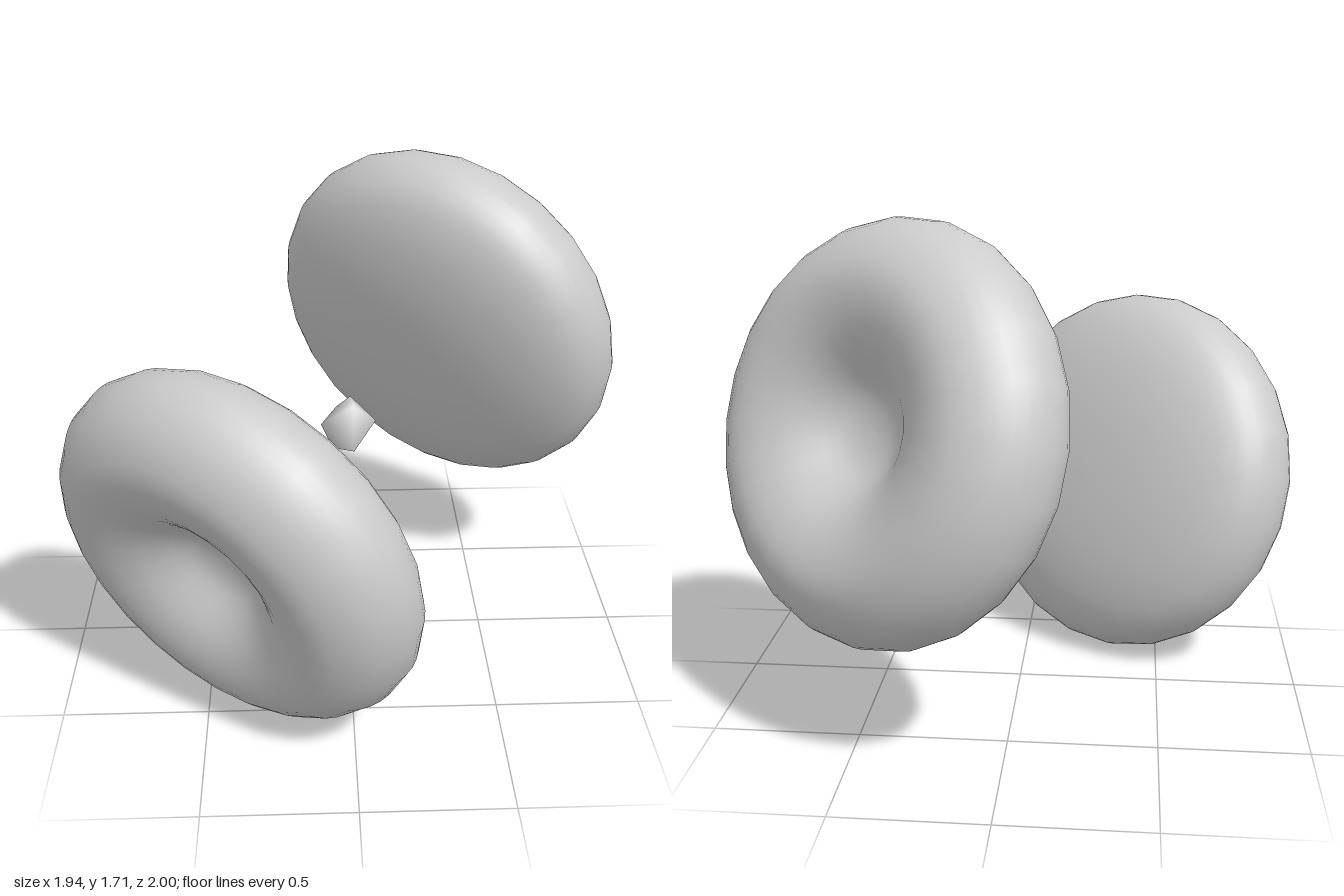
import * as THREE from 'three';
import { ConvexGeometry } from 'three/addons/geometries/ConvexGeometry.js';
import { mergeVertices } from 'three/addons/utils/BufferGeometryUtils.js';

const v2 = (r, t) => new THREE.Vector2(r, t);

export function createModel() {
  const model = new THREE.Group();
  const material = new THREE.MeshStandardMaterial({ color: 0xcccccc });

  // Cell profile: domed underside, blunt rim, narrow dimple in the upper face
  const profile = new THREE.SplineCurve([
    v2(0, -0.28), v2(0.18, -0.275), v2(0.35, -0.255), v2(0.5, -0.215), v2(0.61, -0.155),
    v2(0.665, -0.08), v2(0.682, 0), v2(0.66, 0.085), v2(0.6, 0.165), v2(0.5, 0.222),
    v2(0.4, 0.225), v2(0.3, 0.193), v2(0.22, 0.14), v2(0.14, 0.075), v2(0.07, 0.048), v2(0, 0.04),
  ]).getPoints(36);
  profile[0].x = profile[profile.length - 1].x = 0;
  const cellGeometry = new THREE.LatheGeometry(profile, 24);

  // Two cells mirrored through the centre, dimples facing outwards
  const up = new THREE.Vector3(0, 1, 0);
  for (const [name, s] of [['frontCell', 1], ['backCell', -1]]) {
    const cell = new THREE.Mesh(cellGeometry, material);
    cell.name = name;
    cell.position.set(-0.38 * s, 0.86 - 0.2 * s, 0.49 * s);
    const axis = new THREE.Vector3(-0.58 * s, -0.28 * s, 0.765 * s).normalize();
    cell.quaternion.setFromUnitVectors(up, axis);
    model.add(cell);
  }

  // Small faceted granule floating between the cells, smooth shaded
  const corners = [
    [0.02, -0.07, 0.075], [-0.095, 0.01, 0.02], [0, -0.05, -0.11], [0.1, 0, -0.025],
    [0.01, 0.09, -0.04], [0.02, 0.085, 0.035], [0, -0.08, 0], [-0.055, -0.07, 0.045],
    [0.065, -0.06, -0.06], [-0.04, 0.06, -0.02], [0.02, 0.01, -0.1],
  ].map((p) => new THREE.Vector3(...p));
  let granuleGeometry = new ConvexGeometry(corners);
  granuleGeometry.deleteAttribute('normal');
  granuleGeometry = mergeVertices(granuleGeometry);
  granuleGeometry.computeVertexNormals();
  const granule = new THREE.Mesh(granuleGeometry, material);
  granule.name = 'granule';
  granule.position.y = 0.86;
  model.add(granule);

  return model;
}
